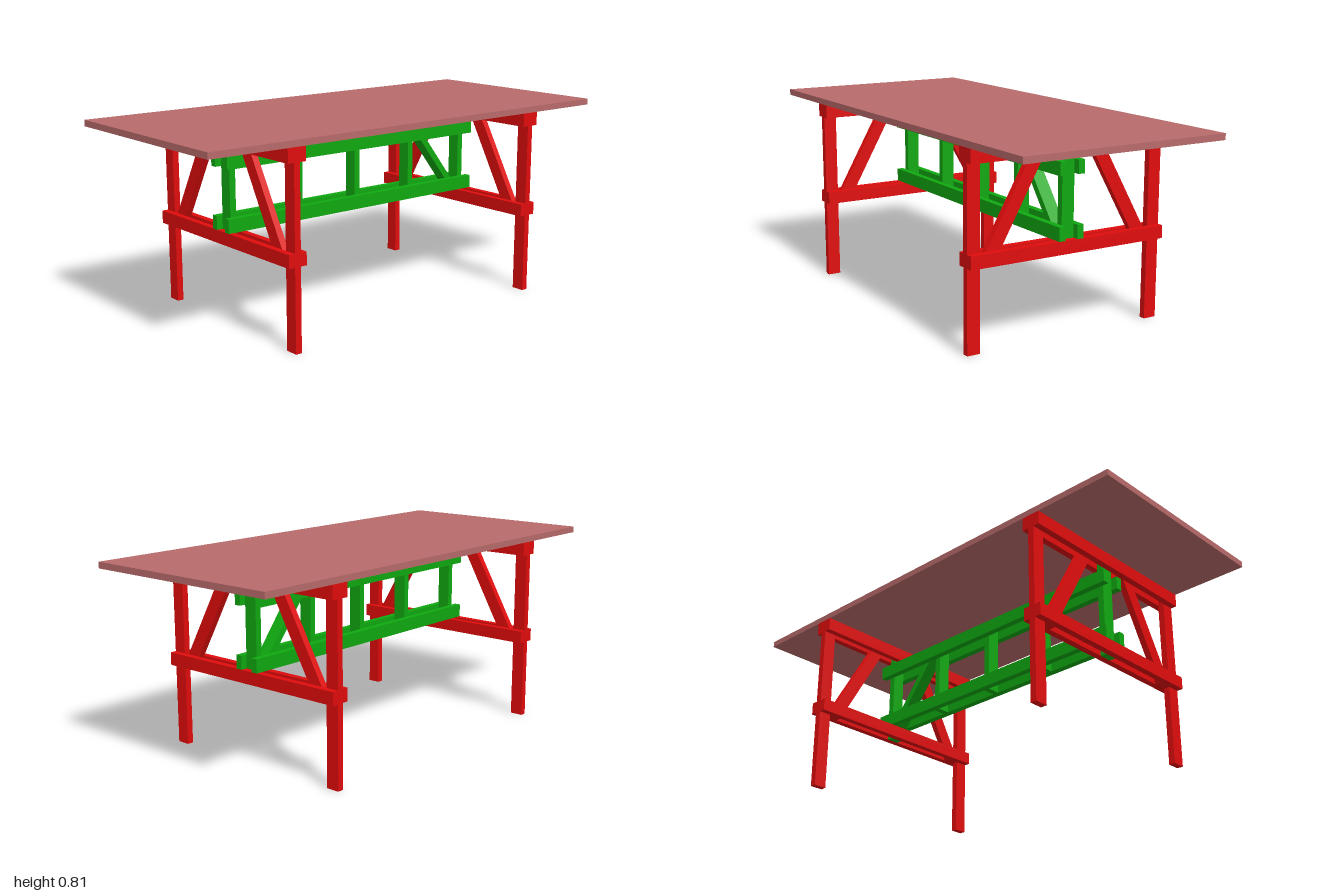
import * as THREE from 'three';

const red = new THREE.MeshStandardMaterial({ color: 0xe00c0c });
const green = new THREE.MeshStandardMaterial({ color: 0x10a810 });
const topColor = new THREE.MeshStandardMaterial({ color: 0xb86a6a });

const T = 0.027; // board thickness
const HALF_W = 0.447; // half the table width
const END_Z = 0.623; // trestle position

// Box given by its limits on each axis
function board(parent, name, material, [x0, x1], [y0, y1], [z0, z1]) {
  const mesh = new THREE.Mesh(new THREE.BoxGeometry(x1 - x0, y1 - y0, z1 - z0), material);
  mesh.position.set((x0 + x1) / 2, (y0 + y1) / 2, (z0 + z1) / 2);
  mesh.name = name;
  parent.add(mesh);
  return mesh;
}

// Flat outline extruded evenly about its own plane
function slab(parent, name, material, points, depth) {
  const shape = new THREE.Shape(points.map(([x, y]) => new THREE.Vector2(x, y)));
  const geometry = new THREE.ExtrudeGeometry(shape, { depth, bevelEnabled: false });
  geometry.translate(0, 0, -depth / 2);
  const mesh = new THREE.Mesh(geometry, material);
  mesh.name = name;
  parent.add(mesh);
  return mesh;
}

function createTrestle() {
  const trestle = new THREE.Group();
  trestle.name = 'trestle';
  const mid = [-T / 2, T / 2];
  // Paired rails clamp the legs and braces
  for (const s of [-1, 1]) {
    const z = [s * T - T / 2, s * T + T / 2];
    board(trestle, 'lowerRail', red, [-HALF_W, HALF_W], [0.338, 0.391], z);
    board(trestle, 'upperRail', red, [-HALF_W, HALF_W], [0.73, 0.787], z);
  }
  // Legs and slanted braces, mirrored
  for (const s of [-1, 1]) {
    const x = s > 0 ? [0.391, HALF_W] : [-HALF_W, -0.391];
    board(trestle, 'leg', red, x, [0, 0.787], mid);
    const brace = [[0.333, 0.338], [0.391, 0.338], [0.391, 0.349], [0.141, 0.787], [0.078, 0.787]];
    slab(trestle, 'brace', red, brace.map(([px, py]) => [s * px, py]), T);
  }
  // Centre post carrying the stretcher
  board(trestle, 'centrePost', green, [-0.028, 0.028], [0.338, 0.787], mid);
  return trestle;
}

function createStretcher() {
  const stretcher = new THREE.Group();
  stretcher.name = 'stretcher';
  // Paired beams along the table
  for (const s of [-1, 1]) {
    const x = [s * 0.042 - 0.014, s * 0.042 + 0.014];
    board(stretcher, 'lowerBeam', green, x, [0.391, 0.447], [-0.664, 0.664]);
    board(stretcher, 'upperBeam', green, x, [0.645, 0.7], [-0.664, 0.664]);
  }
  // Uprights between the beams
  for (const z of [0.294, -0.01, -0.316]) {
    board(stretcher, 'upright', green, [-0.028, 0.028], [0.391, 0.7], [z - T / 2, z + T / 2]);
  }
  // Single diagonal in the rear bay, outlined in the side plane
  const outline = [[0.574, 0.391], [0.609, 0.391], [0.365, 0.7], [0.33, 0.7]];
  const diagonal = slab(stretcher, 'diagonal', green, outline, 0.056);
  diagonal.rotation.y = Math.PI / 2;
  return stretcher;
}

export function createModel() {
  const table = new THREE.Group();
  table.name = 'table';
  board(table, 'tabletop', topColor, [-HALF_W, HALF_W], [0.787, 0.813], [-1, 1]);
  for (const s of [-1, 1]) {
    const trestle = createTrestle();
    trestle.position.z = s * END_Z;
    table.add(trestle);
  }
  table.add(createStretcher());
  return table;
}
